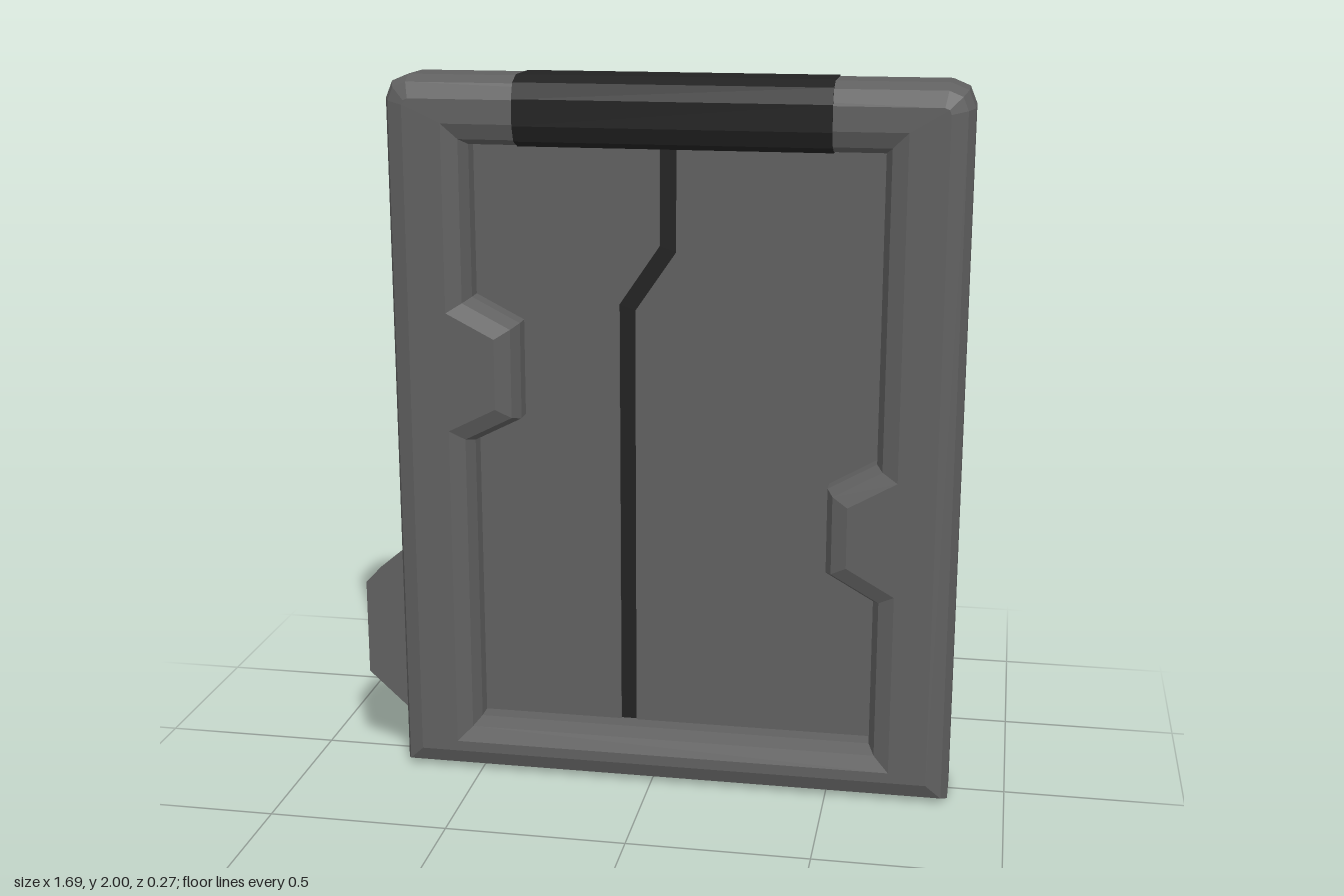
import * as THREE from 'three';

const GREY = 0x606060, DARK = 0x222222, LIGHT = 0xcccccc;
const BACK = -0.12, FRONT = 0.13, BEVEL = 0.06;

const material = (color) => new THREE.MeshStandardMaterial({ color });
const outline = (pts) => new THREE.Shape(pts.map(([x, y]) => new THREE.Vector2(x, y)));

function addMesh(parent, name, geometry, color) {
  const mesh = new THREE.Mesh(geometry, material(color));
  mesh.name = name;
  parent.add(mesh);
  return mesh;
}

// Straight plate cut from an outline, filling z0..z1
function plate(pts, z0, z1) {
  const geo = new THREE.ExtrudeGeometry(outline(pts), { depth: z1 - z0, bevelEnabled: false });
  return geo.translate(0, 0, z0);
}

function box(x0, x1, y0, y1, z0, z1) {
  return new THREE.BoxGeometry(x1 - x0, y1 - y0, z1 - z0)
    .translate((x0 + x1) / 2, (y0 + y1) / 2, (z0 + z1) / 2);
}

// Rectangle whose corners are cut in two steps
function steppedRect(x0, x1, y0, y1, r) {
  const pts = [];
  const corners = [[x1 - r, y1 - r], [x0 + r, y1 - r], [x0 + r, y0 + r], [x1 - r, y0 + r]];
  corners.forEach(([cx, cy], i) => {
    for (let k = 0; k <= 2; k++) {
      const a = (i + k / 2) * Math.PI / 2;
      pts.push([cx + r * Math.cos(a), cy + r * Math.sin(a)]);
    }
  });
  return pts;
}

export function createModel() {
  const door = new THREE.Group();
  door.name = 'door';

  // Frame: two-step bevels outside and around the notched opening
  const frameShape = outline([
    [-0.733, 0], [0.842, 0], [0.842, 1.932], [0.823, 1.978], [0.777, 1.997],
    [-0.668, 1.997], [-0.714, 1.978], [-0.733, 1.932],
  ]);
  frameShape.holes.push(outline([
    [-0.507, 0.15], [-0.507, 0.985], [-0.373, 1.053], [-0.373, 1.324], [-0.507, 1.393], [-0.507, 1.812],
    [0.617, 1.812], [0.617, 0.97], [0.484, 0.894], [0.484, 0.652], [0.617, 0.576], [0.617, 0.15],
  ]));
  const frameGeo = new THREE.ExtrudeGeometry(frameShape, {
    depth: FRONT - BACK - 2 * BEVEL, bevelEnabled: true, bevelSegments: 2,
    bevelSize: BEVEL, bevelThickness: BEVEL, bevelOffset: -BEVEL,
  }).translate(0, 0, BACK + BEVEL);
  addMesh(door, 'frame', frameGeo, GREY);

  // Dark sleeve around the middle of the top beam
  const zMid = (FRONT + BACK) / 2, zHalf = (FRONT - BACK) / 2 + 0.003;
  const sleeve = plate(steppedRect(-zHalf, zHalf, 1.809, 2, BEVEL), -0.37, 0.48);
  addMesh(door, 'topSleeve', sleeve.rotateY(Math.PI / 2).translate(0, 0, zMid), DARK);

  // Two sliding panels with a cranked seam between them
  const seamLeft = [[0.008, 1.86], [0.008, 1.54], [-0.104, 1.375], [-0.104, 0.1]];
  const seamRight = [[0.054, 1.86], [0.054, 1.525], [-0.059, 1.36], [-0.059, 0.1]];
  const back = [...seamRight].reverse();
  addMesh(door, 'panelRight', plate([[-0.57, 0.1], ...[...seamLeft].reverse(), [-0.57, 1.86]], -0.02, 0.02), GREY);
  addMesh(door, 'panelLeft', plate([...seamRight, [0.68, 0.1], [0.68, 1.86]], -0.02, 0.02), GREY);
  addMesh(door, 'seam', plate([...seamLeft, ...back], -0.013, 0.013), DARK);

  // Side housing with a framed cover on its back
  const housing = new THREE.Group();
  housing.name = 'sideHousing';
  door.add(housing);
  addMesh(housing, 'housingBody',
    plate([[-0.845, 0.265], [-0.72, 0.15], [-0.72, 0.645], [-0.845, 0.54]], -0.065, 0.07), GREY);
  addMesh(housing, 'housingTrim',
    plate([[-0.837, 0.272], [-0.745, 0.19], [-0.745, 0.608], [-0.837, 0.532]], -0.071, -0.06), DARK);
  addMesh(housing, 'housingCover',
    plate([[-0.823, 0.288], [-0.757, 0.228], [-0.757, 0.575], [-0.823, 0.52]], -0.073, -0.06), GREY);

  // Tapered plate over the doorway, on the back
  addMesh(door, 'lintelPlate', plate([
    [-0.1, 1.935], [-0.03, 1.925], [0, 1.885], [0.11, 1.885], [0.14, 1.925],
    [0.205, 1.935], [0.205, 1.965], [0.195, 1.975], [-0.09, 1.975], [-0.1, 1.965],
  ], -0.138, -0.1), GREY);

  // Round lamps set in dark rings
  [[-0.62, 1.645], [-0.62, 1.57], [0.715, 0.37]].forEach(([x, y], i) => {
    const lamp = new THREE.Group();
    lamp.name = `lamp${i + 1}`;
    lamp.position.set(x, y, BACK);
    const ring = new THREE.CylinderGeometry(0.032, 0.034, 0.012, 16).rotateX(-Math.PI / 2);
    addMesh(lamp, 'lampRing', ring, DARK);
    const dome = new THREE.SphereGeometry(0.025, 16, 5, 0, Math.PI * 2, 0, Math.PI / 2)
      .scale(1, 0.3, 1).rotateX(-Math.PI / 2).translate(0, 0, -0.006);
    addMesh(lamp, 'lampDome', dome, LIGHT);
    door.add(lamp);
  });

  // Access reader with four corner studs
  const reader = new THREE.Group();
  reader.name = 'accessReader';
  door.add(reader);
  addMesh(reader, 'readerPlate', box(0.647, 0.763, 0.66, 0.89, BACK - 0.004, -0.1), DARK);
  for (const x of [0.66, 0.75]) for (const y of [0.672, 0.878]) {
    addMesh(reader, 'readerStud', box(x - 0.008, x + 0.008, y - 0.008, y + 0.008, -0.131, -0.12), DARK);
  }

  // Keypad: three columns and five rows of keys
  const keypad = new THREE.Group();
  keypad.name = 'keypad';
  door.add(keypad);
  addMesh(keypad, 'keypadPlate', box(-0.572, -0.458, 1.085, 1.29, BACK - 0.002, -0.1), 0x111111);
  for (let c = 0; c < 3; c++) for (let r = 0; r < 5; r++) {
    const x = -0.567 + c * 0.036, y = 1.09 + r * 0.0395;
    addMesh(keypad, 'key', box(x, x + 0.031, y, y + 0.033, BACK - 0.005, -0.11), 0x2c2c2c);
  }

  return door;
}
